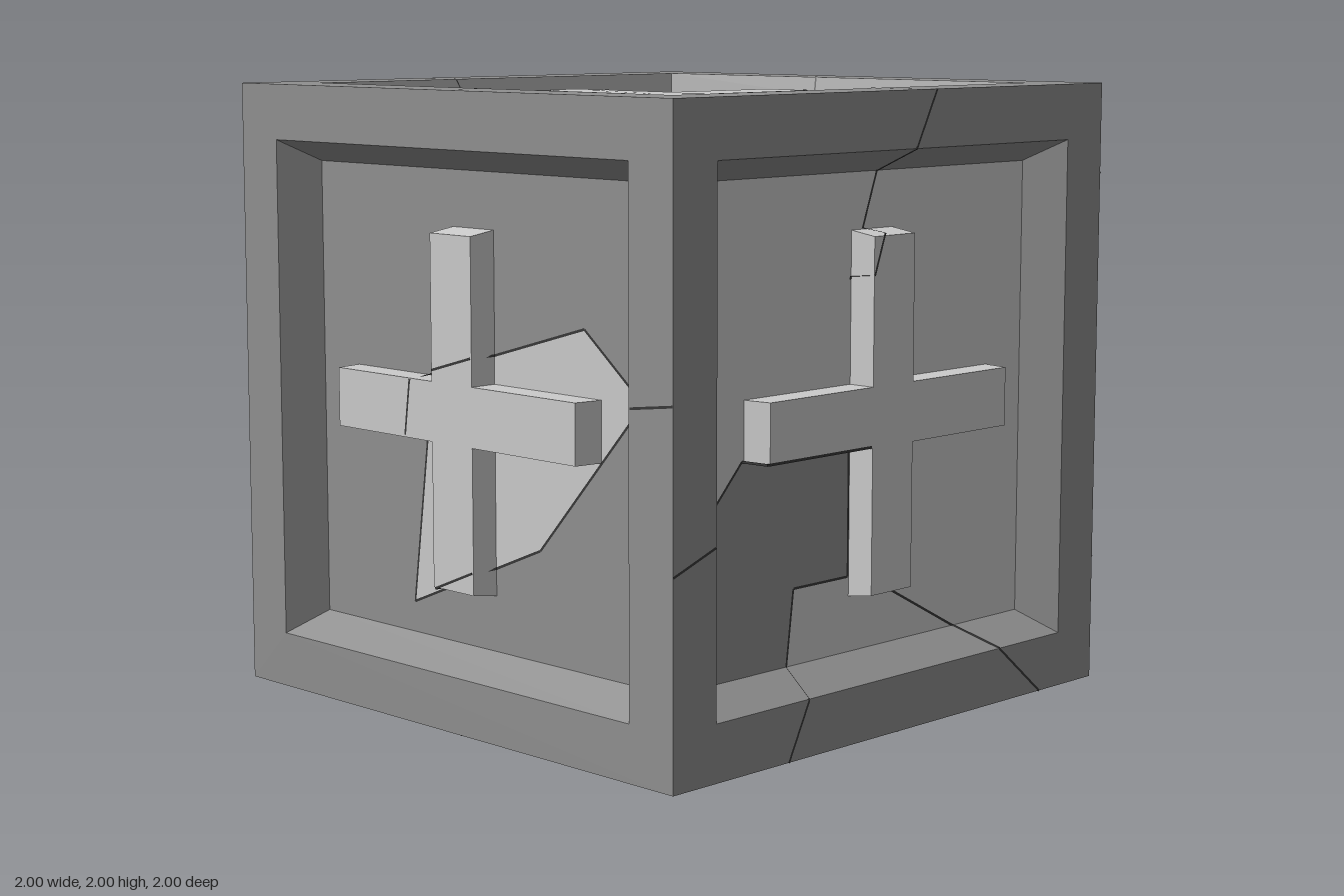
import * as THREE from 'three';

const RIM = 0.82, FLOOR = 0.75, DEPTH = 0.87, RAISED = 0.965, ARM = 0.095, REACH = 0.572;
const mat = (color, side = THREE.FrontSide) => new THREE.MeshStandardMaterial({ color, side, flatShading: true });
const stone = mat(0x909090), pale = mat(0xcccccc), paleSheet = mat(0xcccccc, THREE.DoubleSide);
const gap = mat(0x383838, THREE.DoubleSide);

const points = flat => Array.from({ length: flat.length / 2 }, (_, i) => new THREE.Vector2(flat[2 * i], flat[2 * i + 1]));
const reach = p => Math.max(Math.abs(p.x), Math.abs(p.y));

// Frame rim, sloped walls and recessed floor: a four-sided lathe
function panelGeometry() {
  const profile = [[1, 1], [RIM, 1], [FLOOR, DEPTH], [0, DEPTH]].map(([r, h]) => new THREE.Vector2(r * Math.SQRT2, h));
  const g = new THREE.LatheGeometry(profile, 4, Math.PI / 4).rotateX(Math.PI / 2).toNonIndexed();
  g.computeVertexNormals();
  return g;
}

// Raised cross whose arm ends lean inward a little
function crossGeometry() {
  const outline = [];
  for (let i = 0; i < 4; i++) {
    for (const [x, y] of [[REACH, -ARM], [REACH, ARM], [ARM, ARM]]) {
      outline.push(new THREE.Vector2(x, y).rotateAround(new THREE.Vector2(), i * Math.PI / 2));
    }
  }
  const g = new THREE.ExtrudeGeometry(new THREE.Shape(outline), { depth: RAISED - DEPTH, bevelEnabled: false });
  const p = g.attributes.position;
  for (let i = 0; i < p.count; i++) {
    if (p.getZ(i) < 0.01) continue;
    if (Math.abs(p.getX(i)) > 0.5) p.setX(i, p.getX(i) * 0.975);
    if (Math.abs(p.getY(i)) > 0.5) p.setY(i, p.getY(i) * 0.975);
  }
  g.translate(0, 0, DEPTH);
  g.computeVertexNormals();
  return g;
}

// Surface height of a face at point p
function heightAt(p) {
  const far = reach(p), near = Math.min(Math.abs(p.x), Math.abs(p.y));
  if (near < ARM && far < REACH) return RAISED;
  return THREE.MathUtils.lerp(DEPTH, 1, THREE.MathUtils.clamp((far - FLOOR) / (RIM - FLOOR), 0, 1));
}

// Cracks around a floor shard: its inner edges, carried on across the frame where they meet it
function shardCracks(shard) {
  const onEdge = p => reach(p) >= FLOOR;
  const segments = [];
  shard.forEach((a, i) => {
    const b = shard[(i + 1) % shard.length];
    if (!(onEdge(a) && onEdge(b))) segments.push([a, b]);
    const corner = Math.abs(a.x) === Math.abs(a.y);
    if (onEdge(a) && !corner) segments.push([a, a.clone().divideScalar(reach(a))]);
  });
  return segments;
}

// Thin ribbons draped over the face along every crack
function crackGeometry(segments) {
  const pos = [], index = [], half = 0.004;
  for (const [a, b] of segments) {
    const len = a.distanceTo(b), n = Math.ceil(len / 0.01);
    const nx = -(b.y - a.y) / len * half, ny = (b.x - a.x) / len * half;
    for (let i = 0; i <= n; i++) {
      const c = a.clone().lerp(b, i / n), h = heightAt(c) + 0.0015;
      const k = pos.length / 3;
      pos.push(c.x - nx, c.y - ny, h, c.x + nx, c.y + ny, h);
      if (i < n) index.push(k, k + 2, k + 1, k + 1, k + 2, k + 3);
    }
  }
  const g = new THREE.BufferGeometry();
  g.setAttribute('position', new THREE.Float32BufferAttribute(pos, 3));
  g.setIndex(index);
  g.computeVertexNormals();
  return g;
}

export function createModel() {
  const cube = new THREE.Group();
  cube.name = 'crackedCrate';
  const panel = panelGeometry(), cross = crossGeometry(), quarter = Math.PI / 2;

  // One face, turned into place, with its pale floor shards and further crack lines
  function addFace(name, turnX, turnY, shardLists, lineLists) {
    const face = new THREE.Group();
    face.name = name + 'Face';
    face.rotation.set(turnX * quarter, turnY * quarter, 0);
    face.position.y = 1;
    const add = (part, geometry, material) => {
      const mesh = new THREE.Mesh(geometry, material);
      mesh.name = name + part;
      face.add(mesh);
    };
    const shards = shardLists.map(points);
    const segments = shards.flatMap(shardCracks);
    for (const line of lineLists.map(points)) {
      for (let i = 1; i < line.length; i++) segments.push([line[i - 1], line[i]]);
    }
    add('FramedPanel', panel, stone);
    add('Cross', cross, pale);
    for (const shard of shards) {
      add('FloorShard', new THREE.ShapeGeometry(new THREE.Shape(shard)).translate(0, 0, DEPTH + 0.001), paleSheet);
    }
    add('Cracks', crackGeometry(segments), gap);
    cube.add(face);
  }

  addFace('front', 0, 0,
    [[-.75, -.27, -.75, .75, .75, .75, .75, -.75, -.38, -.75, -.35, -.51, -.1, -.51, -.1, -.09, -.58, -.09]],
    [[.15, 1, .02, .75, -.1, .42], [.1, -.58, .42, -.75, .72, -1]]);
  addFace('right', 0, 1,
    [[.08, .75, .75, .75, .75, .5, .23, .11, .09, .18], [-.75, .53, -.43, .09, -.55, -.09, -.75, -.44]],
    [[-.48, .07, .06, .2], [.23, .11, .41, -.5, .38, -1]]);
  addFace('back', 0, 2,
    [[-.75, .75, .25, .75, .46, .16, .36, -.21, .09, -.67, -.2, -.75, -.55, -.35, -.75, 0]], []);
  addFace('left', 0, -1,
    [[-.2, .1, .5, .3, .75, .1, .3, -.4, -.3, -.65]], []);
  addFace('top', -1, 0,
    [[-.21, .75, .75, .75, .09, .4, -.02, .33],
      [-.75, -.03, -.33, -.12, -.09, .01, .19, -.34, .2, -.48, .03, -.71, .04, -.75, -.75, -.75]],
    [[-.09, .01, -.02, .33], [.19, -.34, .82, .1]]);
  addFace('bottom', 1, 0, [], [[0, 1, .3, .2, -.2, -.1, -1, .07]]);
  return cube;
}
